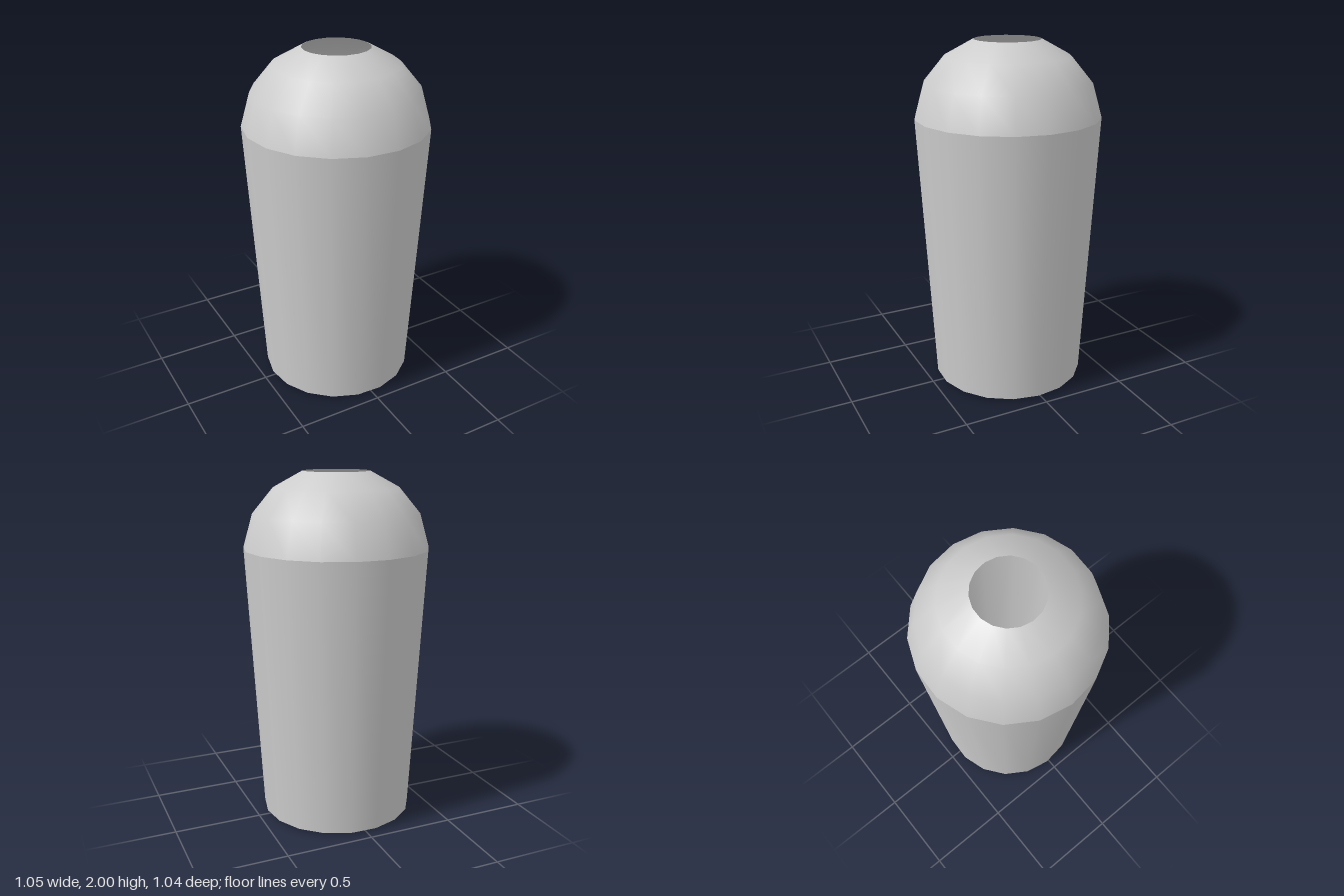
import * as THREE from 'three';

const SIDES = 18;
const TURN = THREE.MathUtils.degToRad(7.75);

export function createModel() {
  const group = new THREE.Group();
  const material = new THREE.MeshStandardMaterial({ color: 0xcccccc, side: THREE.DoubleSide });

  // Revolves a profile of [radius, height] pairs, listed from the bottom up
  const revolve = (name, profile) => {
    const points = profile.map(([r, y]) => new THREE.Vector2(r, y));
    const mesh = new THREE.Mesh(new THREE.LatheGeometry(points, SIDES, TURN), material);
    mesh.name = name;
    group.add(mesh);
  };

  // Shallow plug that the body stands on
  revolve('basePlate', [[0, 0], [0.375, 0]]);
  revolve('baseEdge', [[0.375, 0], [0.375, 0.012]]);
  revolve('bottomRim', [[0.375, 0.012], [0.44, 0.012]]);

  // Tapered hollow body, creased where it meets the dome
  revolve('body', [[0.44, 0.012], [0.526, 1.575]]);

  // Rounded top with an open hole in the middle
  revolve('dome', [[0.526, 1.575], [0.472, 1.765], [0.352, 1.91], [0.188, 2]]);

  return group;
}
